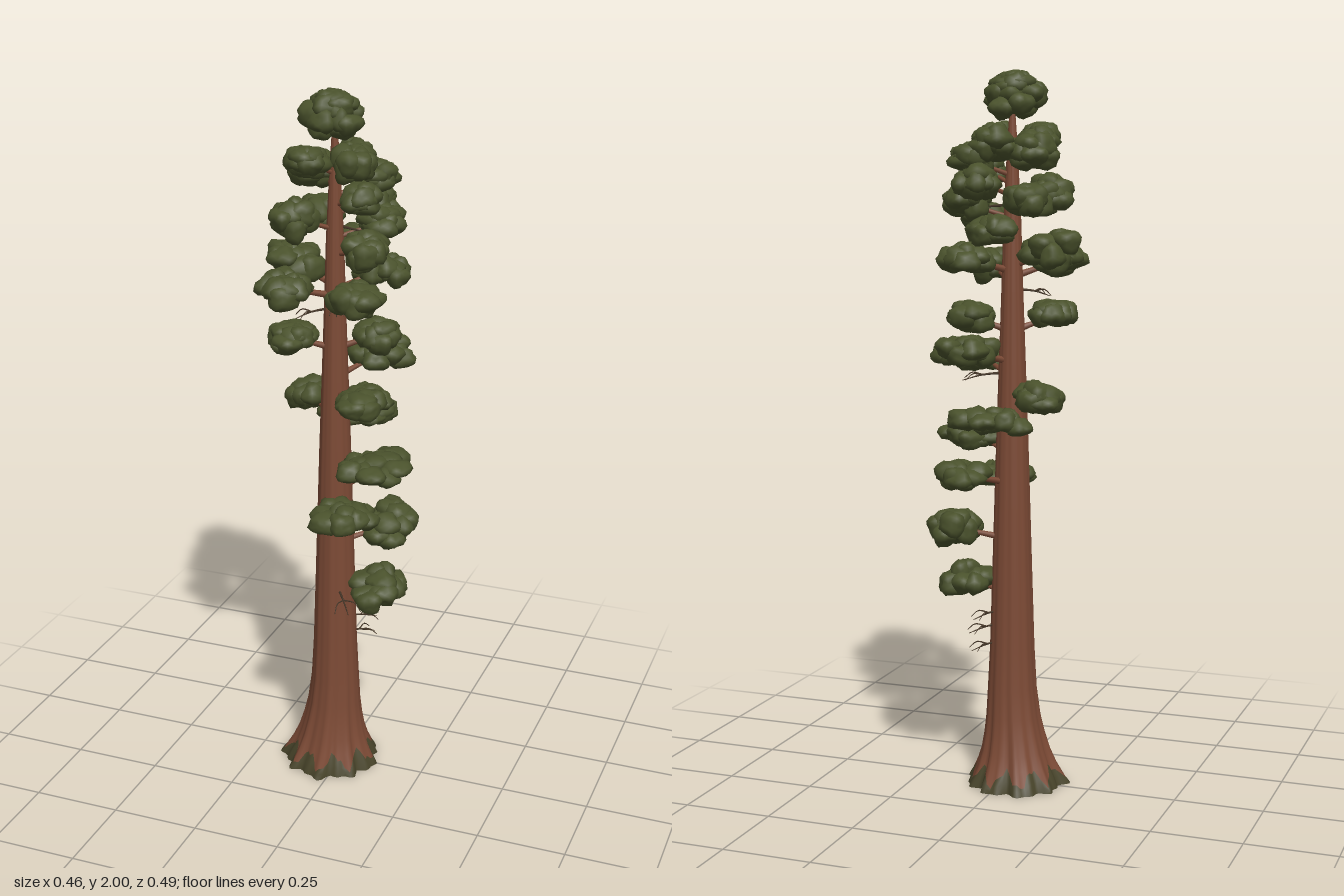
import * as THREE from 'three';
import { mergeVertices, mergeGeometries } from 'three/addons/utils/BufferGeometryUtils.js';

const material = (name, color) => {
  const m = new THREE.MeshStandardMaterial({ color });
  m.name = name;
  return m;
};

// Small seeded random generator
let seed = 7;
const rand = () => {
  seed = (seed * 16807) % 2147483647;
  return seed / 2147483647;
};
const spread = (s) => (rand() * 2 - 1) * s;

// Trunk: height and radius
const PROFILE = [[0, 0.132], [0.025, 0.122], [0.06, 0.107], [0.1, 0.094], [0.15, 0.083], [0.2, 0.075], [0.28, 0.068],
  [0.4, 0.062], [0.6, 0.056], [0.8, 0.05], [1, 0.044], [1.2, 0.037], [1.4, 0.03], [1.6, 0.024], [1.8, 0.014], [1.93, 0.005]];

function trunkRadius(y) {
  const i = Math.max(1, PROFILE.findIndex((p) => p[0] >= y));
  const [y0, r0] = PROFILE[i - 1], [y1, r1] = PROFILE[i];
  return r0 + (r1 - r0) * (y - y0) / (y1 - y0);
}
const trunkX = (y) => -0.02 - 0.015 * Math.max(0, 1 - y / 0.25);

// Point on the bark, with root flutes that fade out upward
function barkPoint(y, a, offset = 0) {
  const flare = Math.exp(-y / 0.12);
  const flute = 0.06 * Math.sin(9 * a + 0.6) + 0.045 * Math.sin(17 * a + 2) + 0.02 * Math.sin(5 * a);
  const r = trunkRadius(y) * (1 + flute * (flare + 0.22)) + offset;
  return [trunkX(y) + r * Math.cos(a), y, r * Math.sin(a)];
}

// Closed skin around the trunk from rows of points
function skin(rows, cols, point) {
  const pos = [], index = [];
  for (let i = 0; i < rows; i++)
    for (let j = 0; j < cols; j++) pos.push(...point(i, (j / cols) * Math.PI * 2, j));
  for (let i = 0; i < rows - 1; i++)
    for (let j = 0; j < cols; j++) {
      const a = i * cols + j, b = i * cols + (j + 1) % cols;
      index.push(a, a + cols, b, b, a + cols, b + cols);
    }
  const g = new THREE.BufferGeometry();
  g.setAttribute('position', new THREE.Float32BufferAttribute(pos, 3));
  g.setIndex(index);
  g.computeVertexNormals();
  return g;
}

// Limb between points, tapering to its end
function limb(points, r0, r1, sides = 6) {
  const curve = new THREE.CatmullRomCurve3(points);
  const steps = 6;
  const g = new THREE.TubeGeometry(curve, steps, 1, sides);
  const p = g.attributes.position, v = new THREE.Vector3();
  for (let i = 0; i < p.count; i++) {
    const t = Math.floor(i / (sides + 1)) / steps;
    const c = curve.getPointAt(t);
    v.fromBufferAttribute(p, i).sub(c).multiplyScalar(r0 + (r1 - r0) * t).add(c);
    p.setXYZ(i, v.x, v.y, v.z);
  }
  return g;
}

// Lumpy leaf clump
const ball = new THREE.IcosahedronGeometry(1, 2);
ball.deleteAttribute('normal');
ball.deleteAttribute('uv');
const smoothBall = mergeVertices(ball, 1e-4);
function clump(x, y, z, r, h) {
  const g = smoothBall.clone(), p = g.attributes.position;
  const ph = [rand() * 6, rand() * 6, rand() * 6];
  for (let i = 0; i < p.count; i++) {
    const a = p.getX(i), b = p.getY(i), c = p.getZ(i);
    const k = 0.97 + 0.15 * Math.sin(3.4 * a + ph[0]) * Math.cos(3 * c + ph[1]) + 0.1 * Math.sin(4 * b + ph[2]) + spread(0.07);
    p.setXYZ(i, x + a * k * r, y + b * k * h, z + c * k * r);
  }
  g.computeVertexNormals();
  return g;
}

// Foliage pads: x, y, z, then half sizes in x, y, z
const PADS = [
  [0.105, 0.585, -0.01, 0.085, 0.055, 0.105], [0.115, 0.745, -0.09, 0.075, 0.06, 0.1],
  [0.06, 0.862, 0.147, 0.095, 0.042, 0.1], [0.075, 0.905, -0.145, 0.075, 0.042, 0.1],
  [0.12, 0.985, 0.085, 0.108, 0.042, 0.105], [-0.01, 1.055, -0.15, 0.12, 0.04, 0.078],
  [-0.125, 1.12, -0.08, 0.07, 0.048, 0.07], [0.11, 1.2, 0.13, 0.075, 0.038, 0.105],
  [0.065, 1.245, -0.14, 0.09, 0.045, 0.105], [-0.115, 1.33, 0.07, 0.068, 0.046, 0.08],
  [0.09, 1.33, -0.04, 0.068, 0.046, 0.075], [-0.14, 1.51, -0.02, 0.092, 0.062, 0.09],
  [-0.12, 1.48, 0.11, 0.075, 0.048, 0.08], [0.08, 1.465, 0.11, 0.075, 0.052, 0.085],
  [0.075, 1.495, -0.115, 0.08, 0.045, 0.085],
];
const UPPER_PADS = [
  [-0.1, 1.665, 0.09, 0.066, 0.055, 0.072], [-0.09, 1.65, -0.08, 0.065, 0.048, 0.07],
  [0.095, 1.595, 0.075, 0.058, 0.052, 0.072], [0.09, 1.64, -0.06, 0.062, 0.055, 0.075],
  [0.0, 1.57, -0.1, 0.07, 0.045, 0.06], [0.045, 1.7, -0.1, 0.065, 0.055, 0.065],
  [0.07, 1.755, -0.075, 0.055, 0.045, 0.06], [-0.085, 1.78, -0.03, 0.07, 0.052, 0.06],
  [-0.07, 1.815, 0.07, 0.055, 0.048, 0.065], [0.045, 1.815, 0.03, 0.06, 0.055, 0.065],
  [0.01, 1.8, -0.075, 0.07, 0.055, 0.06], [0.075, 1.73, 0.06, 0.05, 0.045, 0.055],
];
const CROWN = [[-0.025, 1.915, 0.01, 0.088, 0.058, 0.085], [-0.02, 1.955, 0.012, 0.062, 0.045, 0.062]];

function padGeometry([x, y, z, rx, ry, rz]) {
  const parts = [], n = 14;
  for (let i = 0; i < n; i++) {
    const a = i * 2.39996 + x * 40, d = Math.sqrt((i + 0.5) / n);
    const r = 0.04 + spread(0.006), h = Math.min(0.034, ry * 0.68);
    parts.push(clump(
      x + Math.cos(a) * d * (rx - r + 0.008),
      y + spread(ry - h) + (1 - d) * 0.006,
      z + Math.sin(a) * d * (rz - r + 0.008), r, h));
  }
  return mergeGeometries(parts);
}

export function createModel() {
  seed = 7;
  const bark = material('bark', 0x7c4a35);
  const leaf = material('foliage', 0x4a522c);
  const moss = material('moss', 0x48442a);
  const dead = material('deadwood', 0x4a3b2c);
  bark.side = THREE.DoubleSide;
  moss.side = THREE.DoubleSide;
  const model = new THREE.Group();
  model.name = 'giantTree';
  const add = (name, geometry, mat) => {
    const m = new THREE.Mesh(geometry, mat);
    m.name = name;
    model.add(m);
  };

  // Hollow trunk, open at the ground
  const cols = 72;
  add('trunk', skin(PROFILE.length, cols, (i, a) => barkPoint(PROFILE[i][0], a)), bark);

  // Ragged moss around the roots
  add('rootMoss', skin(3, cols, (i, a, j) => {
    const top = 0.032 + 0.02 * Math.sin(9 * a + 0.6 + Math.PI) + (j % 3) * 0.008;
    return barkPoint(top * i / 2, a, i === 2 ? 0.0005 : 0.003);
  }), moss);

  // Foliage pads, each carried by a branch with two forks
  [...PADS, ...UPPER_PADS].forEach((p, i) => {
    const [x, y, z, rx, , rz] = p;
    add('foliagePad' + (i + 1), padGeometry(p), leaf);
    const start = new THREE.Vector3(trunkX(y), y - 0.04, 0);
    const end = new THREE.Vector3(x, y, z);
    const mid = start.clone().lerp(end, 0.55);
    mid.y = y - 0.018;
    const r = i < PADS.length ? 0.011 : 0.007;
    const forks = [-1, 1].map((s) => limb([mid, mid.clone().lerp(end, 0.6),
      new THREE.Vector3(x - s * rx * 0.5, y - 0.005, z + s * rz * 0.5)], r * 0.5, 0.002, 5));
    add('branch' + (i + 1), mergeGeometries([limb([start, mid, end], r, 0.004), ...forks]), bark);
  });

  // Rounded crown
  CROWN.forEach((p, i) => add('crown' + (i + 1), padGeometry(p), leaf));
  add('crownTip', clump(-0.02, 1.968, 0.012, 0.045, 0.031), leaf);

  // Bare dead twigs: height, direction x, direction z, reach
  const TWIGS = [[0.41, 0.72, -0.7, 0.125], [0.46, 0.75, -0.66, 0.13], [0.5, 0.7, -0.72, 0.12], [0.57, 0.55, 0.83, 0.17],
    [1.4, -0.8, 0.6, 0.11], [1.63, 0.95, 0.2, 0.14], [1.17, 0.9, -0.4, 0.14], [1.42, 0.4, 0.9, 0.09]];
  TWIGS.forEach(([y, dx, dz, reach], i) => {
    const at = (t, dy, side = 0) => new THREE.Vector3(trunkX(y) + (dx * t - dz * side) * reach, y + dy, (dz * t + dx * side) * reach);
    const parts = [limb([at(0.2, 0.005), at(0.6, 0), at(1, -0.015)], 0.004, 0.001, 4)];
    for (const s of [-1, 1]) parts.push(limb([at(0.6, 0), at(0.8, 0.005, s * 0.15), at(0.95, -0.012, s * 0.22)], 0.0025, 0.001, 4));
    add('deadTwig' + (i + 1), mergeGeometries(parts), dead);
  });
  return model;
}
